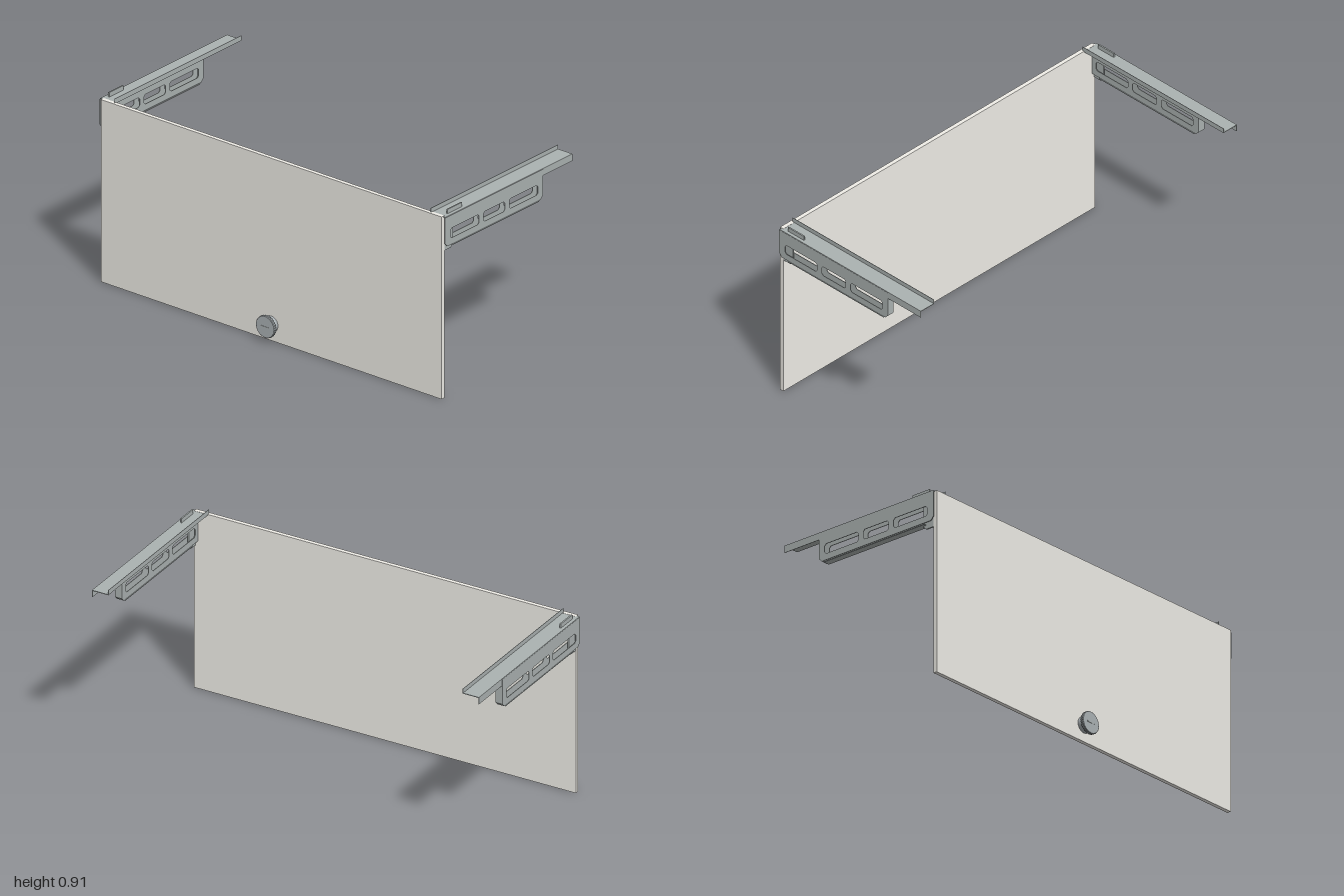
import * as THREE from 'three';

const panelMat = new THREE.MeshStandardMaterial({ color: 0xefede7, flatShading: true });
const metalMat = new THREE.MeshStandardMaterial({ color: 0xabb2b1, flatShading: true });
const knobMat = new THREE.MeshStandardMaterial({ color: 0xabb2b5 });

function add(parent, name, geometry, material) {
  const mesh = new THREE.Mesh(geometry, material);
  mesh.name = name;
  parent.add(mesh);
  return mesh;
}

// Box given by its ranges on each axis
function block(parent, name, [x0, x1], [y0, y1], [z0, z1], material) {
  const g = new THREE.BoxGeometry(Math.abs(x1 - x0), y1 - y0, z1 - z0);
  g.translate((x0 + x1) / 2, (y0 + y1) / 2, (z0 + z1) / 2);
  return add(parent, name, g, material);
}

// Side profile of [z, y] points, extruded across x from x0 to x1
const toVectors = (pts) => pts.map(([z, y]) => new THREE.Vector2(-z, y));
function slab(parent, name, pts, x0, x1, holes = []) {
  const shape = new THREE.Shape(toVectors(pts));
  for (const h of holes) shape.holes.push(new THREE.Path(toVectors(h)));
  const g = new THREE.ExtrudeGeometry(shape, { depth: Math.abs(x1 - x0), bevelEnabled: false });
  g.rotateY(Math.PI / 2).translate(Math.min(x0, x1), 0, 0);
  return add(parent, name, g, metalMat);
}

// Rectangular slot with clipped corners
function slot(z0, z1, y0 = 0.776, y1 = 0.824, c = 0.009) {
  return [[z0 + c, y0], [z1 - c, y0], [z1, y0 + c], [z1, y1 - c],
    [z1 - c, y1], [z0 + c, y1], [z0, y1 - c], [z0, y0 + c]];
}

function createBracket(s, name) {
  const bracket = new THREE.Group();
  bracket.name = name;

  // Z-shaped rail: flat top, outer lip down, inner lip up
  block(bracket, 'railTop', [s * 0.915, s * 0.999], [0.888, 0.891], [-0.47, 0.415], metalMat);
  block(bracket, 'railOuterLip', [s * 0.997, s * 0.999], [0.856, 0.891], [-0.47, 0.415], metalMat);
  block(bracket, 'railInnerLip', [s * 0.915, s * 0.917], [0.888, 0.912], [-0.47, 0.415], metalMat);
  block(bracket, 'topTab', [s * 0.976, s * 0.983], [0.89, 0.912], [0.279, 0.379], metalMat);

  // Two slotted walls, the inner one stopping behind the panel
  const slots = [slot(0.18, 0.38), slot(0.0, 0.15), slot(-0.23, -0.03)];
  slab(bracket, 'outerWall',
    [[0.417, 0.888], [0.417, 0.762], [0.402, 0.745], [-0.248, 0.745], [-0.265, 0.762], [-0.265, 0.888]],
    s * 0.997, s * 1.0, slots);
  slab(bracket, 'innerWall',
    [[0.404, 0.888], [0.404, 0.745], [-0.248, 0.745], [-0.265, 0.762], [-0.265, 0.888]],
    s * 0.965, s * 0.968, slots);

  // Folded rim joining the walls along the bottom and up the back
  slab(bracket, 'foldedRim',
    [[0.36, 0.738], [-0.236, 0.738], [-0.24, 0.745], [-0.248, 0.745], [-0.265, 0.762], [-0.265, 0.857],
      [-0.262, 0.857], [-0.262, 0.764], [-0.246, 0.748], [-0.236, 0.742], [0.36, 0.742]],
    s * 0.965, s * 0.999);

  // Hanger joining the panel to the rail
  slab(bracket, 'panelHanger',
    [[0.405, 0.72], [0.36, 0.72], [0.345, 0.735], [0.345, 0.888], [0.405, 0.888]],
    s * 0.978, s * 0.985);
  return bracket;
}

function createKnob() {
  const knob = new THREE.Group();
  knob.name = 'knob';
  knob.position.set(0, 0.081, 0.425);

  const neck = add(knob, 'knobNeck', new THREE.CylinderGeometry(0.039, 0.039, 0.029, 32), knobMat);
  neck.rotation.x = Math.PI / 2;
  neck.position.z = 0.0145;

  // Knurled grip
  const rim = [];
  const ribs = 32;
  for (let i = 0; i < ribs * 2; i++) {
    const a = (i / (ribs * 2)) * Math.PI * 2;
    const r = i % 2 ? 0.052 : 0.054;
    rim.push(new THREE.Vector2(r * Math.cos(a), r * Math.sin(a)));
  }
  const grip = add(knob, 'knobGrip', new THREE.ExtrudeGeometry(new THREE.Shape(rim), {
    depth: 0.014, bevelEnabled: true, bevelThickness: 0.0015, bevelSize: 0.0015, bevelOffset: -0.0015, bevelSegments: 1,
  }), knobMat);
  grip.position.z = 0.0285;

  // Small key bar on the face
  block(knob, 'knobBar', [-0.024, 0.024], [-0.003, 0.003], [0.042, 0.0455], metalMat);
  return knob;
}

export function createModel() {
  const model = new THREE.Group();
  model.name = 'hangingPanel';
  block(model, 'panel', [-0.986, 0.986], [0, 0.892], [0.405, 0.425], panelMat);
  model.add(createBracket(1, 'leftBracket'), createBracket(-1, 'rightBracket'), createKnob());
  return model;
}
